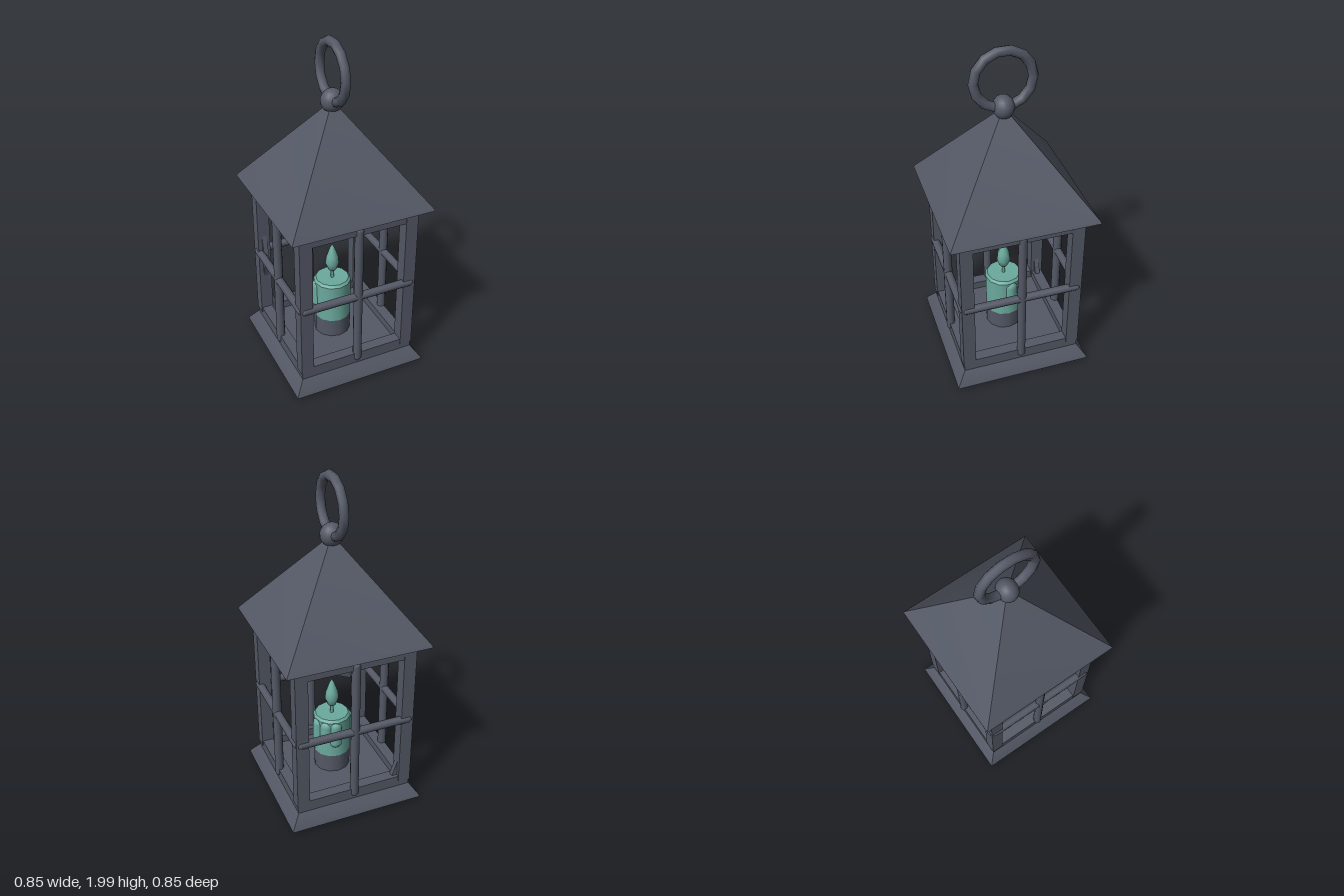
import * as THREE from 'three';
import { toCreasedNormals } from 'three/addons/utils/BufferGeometryUtils.js';

export function createModel() {
  const model = new THREE.Group();
  model.name = 'lantern';
  const iron = new THREE.MeshStandardMaterial({ color: 0x545966 });
  iron.name = 'dark iron';
  const wax = new THREE.MeshStandardMaterial({ color: 0x6cab9f });
  wax.name = 'teal wax';

  const add = (name, geometry, material, x = 0, y = 0, z = 0, parent = model) => {
    const mesh = new THREE.Mesh(geometry, material);
    mesh.name = name;
    mesh.position.set(x, y, z);
    parent.add(mesh);
    return mesh;
  };

  const profile = (points) => points.map(([r, y]) => new THREE.Vector2(r, y));

  // Square turned form: profile values are half widths
  const square = (points) => {
    const g = new THREE.LatheGeometry(
      profile(points.map(([h, y]) => [h * Math.SQRT2, y])), 4, Math.PI / 4);
    return toCreasedNormals(g, 0.35);
  };

  // Flared base with a raised sill around a sunken floor
  add('base', square([
    [0, 0.005], [0.395, 0.005], [0.41, 0.02], [0.405, 0.035], [0.355, 0.105],
    [0.355, 0.175], [0.29, 0.175], [0.29, 0.125], [0, 0.125],
  ]), iron);

  // Pyramid roof with a thin eave and closed ceiling
  add('roof', square([
    [0, 1.085], [0.41, 1.075], [0.424, 1.083], [0.415, 1.1], [0.018, 1.625], [0, 1.635],
  ]), iron);

  // Corner posts
  for (const x of [-1, 1]) {
    for (const z of [-1, 1]) {
      add('cornerPost', new THREE.BoxGeometry(0.075, 0.94, 0.075), iron, x * 0.322, 0.61, z * 0.322);
    }
  }

  // Four sides, each with a top beam and a cross of round bars
  const beam = new THREE.BoxGeometry(0.6, 0.09, 0.07);
  const upright = new THREE.CapsuleGeometry(0.026, 0.88, 4, 10);
  const rail = new THREE.CapsuleGeometry(0.024, 0.66, 4, 10);
  for (let i = 0; i < 4; i++) {
    const side = new THREE.Group();
    side.name = 'sideFrame';
    side.rotation.y = i * Math.PI / 2;
    add('topBeam', beam, iron, 0, 1.045, 0.322, side);
    add('uprightBar', upright, iron, 0, 0.585, 0.345, side);
    add('crossRail', rail, iron, 0, 0.585, 0.345, side).rotation.z = Math.PI / 2;
    model.add(side);
  }

  // Small uneven wedges on the inner edges of the frame
  const wedge = (points, turn) => {
    const g = new THREE.ExtrudeGeometry(new THREE.Shape(profile(points)), { depth: 0.03, bevelEnabled: false });
    add('frameWedge', g, iron, turn ? -0.335 : 0, 0, turn ? 0 : -0.335).rotation.y = turn;
  };
  wedge([[-0.29, 0.17], [-0.25, 0.17], [-0.29, 0.29]], 0);
  wedge([[0.02, 1.01], [0.03, 0.95], [0.15, 1.0], [0.15, 1.01]], 0);
  wedge([[0.29, 0.4], [0.29, 0.73], [0.255, 0.57], [0.255, 0.52]], Math.PI / 2);
  wedge([[-0.29, 0.95], [-0.245, 1.005], [-0.29, 1.005]], Math.PI / 2);

  // Hanging ball and ring
  add('finialBall', new THREE.SphereGeometry(0.067, 16, 12), iron, 0, 1.65, 0).scale.z = 0.9;
  add('hangingRing', new THREE.TorusGeometry(0.163, 0.028, 8, 14), iron, 0, 1.809, 0)
    .rotation.y = Math.PI / 2;

  // Candle holder, candle, wick and flame
  add('candleHolder', new THREE.CylinderGeometry(0.11, 0.11, 0.125, 12), iron, 0, 0.182, 0);
  add('candle', toCreasedNormals(new THREE.LatheGeometry(profile([
    [0, 0.24], [0.11, 0.24], [0.113, 0.485], [0.1, 0.5], [0, 0.495],
  ]), 12), 0.7), wax);
  add('wick', new THREE.CylinderGeometry(0.01, 0.01, 0.09, 6), wax, 0, 0.53, 0);
  add('flame', new THREE.LatheGeometry(profile([
    [0, 0.54], [0.025, 0.555], [0.042, 0.6], [0.036, 0.645], [0.017, 0.7], [0, 0.735],
  ]), 10), wax);

  // Melted wax running down the candle: [angle from +z toward +x, bottom height]
  for (const [angle, bottom] of [[1.75, 0.31], [3.0, 0.3], [-1.75, 0.3], [2.4, 0.36]]) {
    const drip = add('waxDrip', new THREE.CapsuleGeometry(0.04, 0.41 - bottom, 4, 10), wax,
      Math.sin(angle) * 0.088, (0.49 + bottom) / 2, Math.cos(angle) * 0.088);
    drip.rotation.y = angle;
  }
  return model;
}
